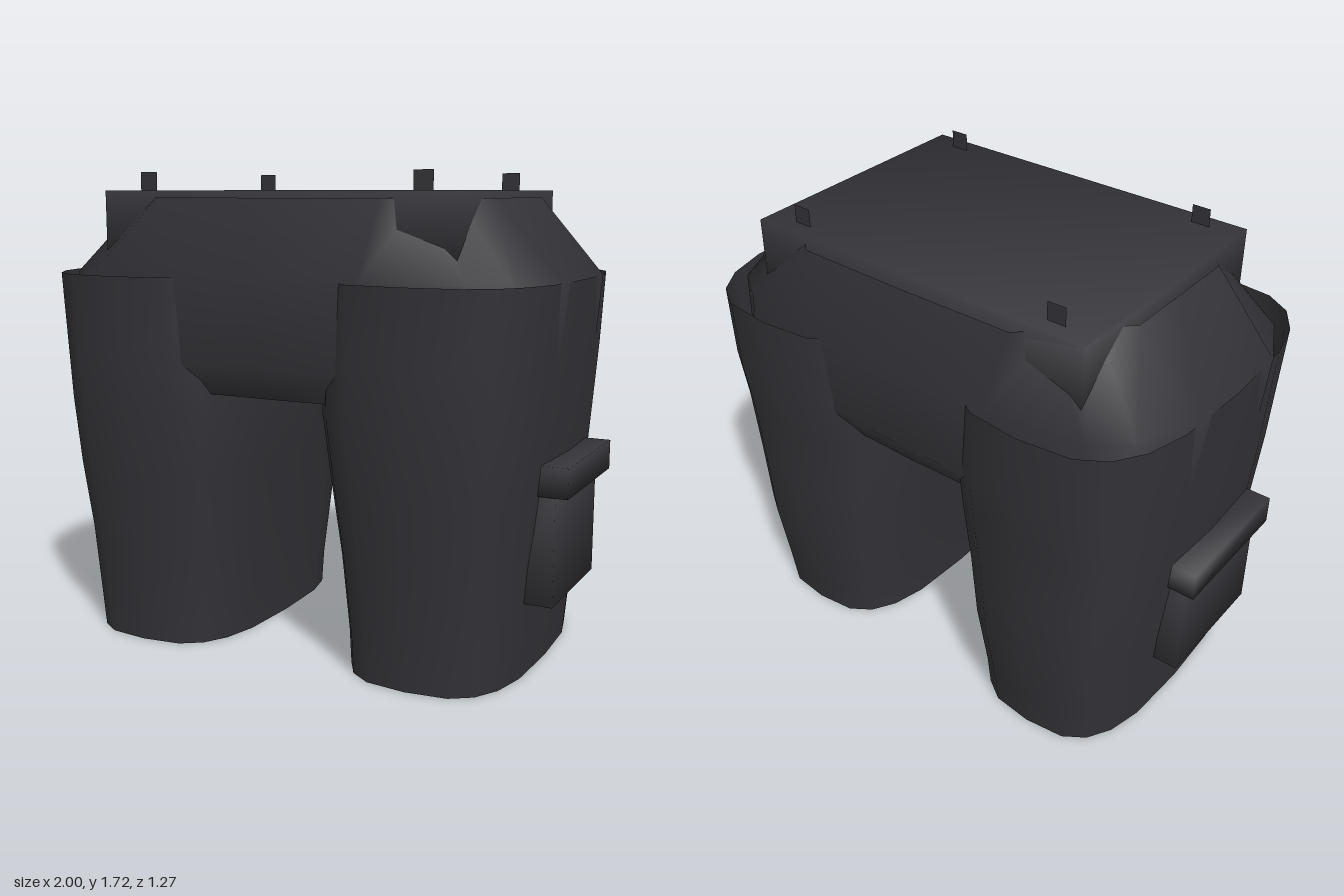
import * as THREE from 'three';
import { mergeVertices } from 'three/addons/utils/BufferGeometryUtils.js';

const cloth = new THREE.MeshStandardMaterial({ color: 0x333338, side: THREE.DoubleSide });
cloth.name = 'charcoal cloth';

function part(name, geometry, x = 0, y = 0, z = 0) {
  const mesh = new THREE.Mesh(geometry, cloth);
  mesh.name = name;
  mesh.position.set(x, y, z);
  return mesh;
}

// Smooth open tube through rings of [x, y, z] points, all of equal count
function loft(rings) {
  const n = rings[0].length;
  const index = [];
  for (let r = 0; r < rings.length - 1; r++) {
    for (let i = 0; i < n; i++) {
      const j = (i + 1) % n;
      const a = r * n + i, b = r * n + j, c = a + n, d = b + n;
      index.push(a, c, b, b, c, d);
    }
  }
  const g = new THREE.BufferGeometry();
  g.setAttribute('position', new THREE.Float32BufferAttribute(rings.flat(2), 3));
  g.setIndex(index);
  g.computeVertexNormals();
  return g;
}

// Box whose corners share averaged normals, for a soft padded shading
function softBox(w, h, d) {
  const g = new THREE.BoxGeometry(w, h, d);
  g.deleteAttribute('normal');
  g.deleteAttribute('uv');
  const soft = mergeVertices(g);
  soft.computeVertexNormals();
  return soft;
}

// Rounded rectangular ring (superellipse) for the trouser legs
function legRing(side, [y, x0, x1, z0, z1], n = 20) {
  const bulge = (v) => Math.sign(v) * Math.abs(v) ** (2 / 3.1);
  const cx = side * (x0 + x1) / 2, cz = (z0 + z1) / 2;
  return Array.from({ length: n }, (_, i) => {
    const a = (i / n) * Math.PI * 2;
    return [cx + bulge(Math.cos(a)) * (x1 - x0) / 2, y, cz + bulge(Math.sin(a)) * (z1 - z0) / 2];
  });
}

// Full ring mirrored from a quarter outline of [x, z], running from side to front
function hipRing(y, quarter) {
  const front = [...quarter, ...quarter.slice(0, -1).reverse().map(([x, z]) => [-x, z])];
  const back = front.slice(1, -1).reverse().map(([x, z]) => [x, -z]);
  return [...front, ...back].map(([x, z]) => [x, y, z]);
}

// height, inner x, outer x, back z, front z
const legProfile = [
  [0, 0.22, 0.85, -0.535, 0.53],
  [0.13, 0.215, 0.86, -0.55, 0.54],
  [0.4, 0.19, 0.88, -0.59, 0.565],
  [0.65, 0.16, 0.91, -0.595, 0.595],
  [0.9, 0.13, 0.93, -0.61, 0.62],
  [1.1, 0.13, 0.942, -0.635, 0.628],
  [1.36, 0.14, 0.957, -0.635, 0.635],
];

function createLeg(side) {
  const leg = new THREE.Group();
  leg.name = side > 0 ? 'leftLeg' : 'rightLeg';
  // Open at the hem
  leg.add(part('legTube', loft(legProfile.map((row) => legRing(side, row)))));

  // Cargo pocket with overhanging flap
  leg.add(part('pocket', softBox(0.18, 0.38, 0.485), side * 0.865, 0.47, 0.028));
  leg.add(part('pocketFlap', softBox(0.2, 0.105, 0.52), side * 0.9, 0.713, 0.024));
  return leg;
}

export function createModel() {
  const model = new THREE.Group();
  model.name = 'cargoShorts';

  // Hip shell: lines the legs at the sides, its front and back panels drop between them
  const hips = loft([
    hipRing(0.95, [[0.92, 0], [0.92, 0.2], [0.87, 0.42], [0.72, 0.55], [0.24, 0.51], [0, 0.515]]),
    hipRing(1.06, [[0.93, 0], [0.93, 0.22], [0.87, 0.43], [0.72, 0.55], [0.32, 0.58], [0, 0.58]]),
    hipRing(1.36, [[0.95, 0], [0.95, 0.24], [0.85, 0.44], [0.72, 0.53], [0.38, 0.59], [0, 0.595]]),
    hipRing(1.63, [[0.715, 0], [0.715, 0.24], [0.62, 0.332], [0.525, 0.424], [0.43, 0.515], [0, 0.52]]),
  ]);
  model.add(part('hips', hips));

  // Boxy waist block and its four flat belt loops
  model.add(part('waistBlock', softBox(1.36, 0.3, 0.97), 0, 1.505, 0));
  for (const x of [-0.535, 0.535]) {
    for (const z of [-0.42, 0.42]) {
      model.add(part('beltLoop', new THREE.PlaneGeometry(0.07, 0.07), x, 1.685, z));
    }
  }

  model.add(createLeg(1), createLeg(-1));
  return model;
}
